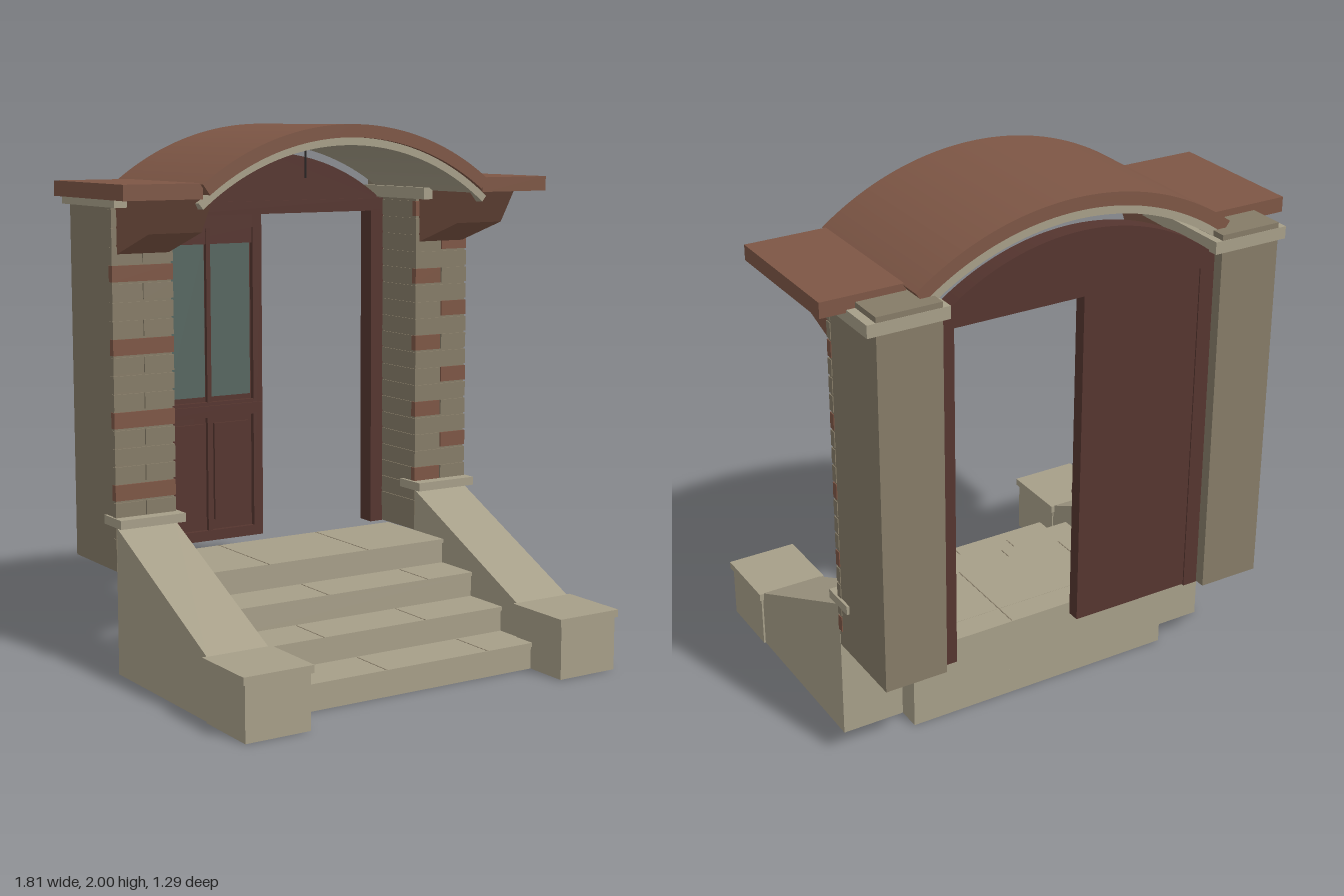
import * as THREE from 'three';

const mat = (name, color) => {
  const m = new THREE.MeshStandardMaterial({ color });
  m.name = name;
  return m;
};

export function createModel() {
  const root = new THREE.Group();
  const stone = mat('pale stone', 0xa69e88);
  const wall = mat('wall stone', 0x857b67);
  const clay = mat('terracotta', 0x7d5645);
  const wood = mat('dark red wood', 0x55352f);
  const glass = mat('glass', 0x566660);
  const iron = mat('dark iron', 0x2a2626);

  const add = (name, geo, m, parent = root) => {
    const mesh = new THREE.Mesh(geo, m);
    mesh.name = name;
    parent.add(mesh);
    return mesh;
  };
  // box given by its limits on each axis
  const box = (name, m, x0, x1, y0, y1, z0, z1, parent) => {
    const g = new THREE.BoxGeometry(Math.abs(x1 - x0), y1 - y0, z1 - z0);
    g.translate((x0 + x1) / 2, (y0 + y1) / 2, (z0 + z1) / 2);
    return add(name, g, m, parent);
  };
  // xy shape extruded from z0 to z1
  const slab = (name, m, shape, z0, z1) => {
    const g = new THREE.ExtrudeGeometry(shape, { depth: z1 - z0, bevelEnabled: false, curveSegments: 32 });
    g.translate(0, 0, z0);
    return add(name, g, m);
  };
  // (z, y) profile extruded along x
  const profile = (name, m, pts, x0, x1) => {
    const s = new THREE.Shape(pts.map(([z, y]) => new THREE.Vector2(-z, y)));
    const g = new THREE.ExtrudeGeometry(s, { depth: x1 - x0, bevelEnabled: false });
    g.rotateY(Math.PI / 2);
    g.translate(x0, 0, 0);
    return add(name, g, m);
  };
  // curved band about (0, cy)
  const band = (cy, rOut, rIn, half) => {
    const s = new THREE.Shape();
    s.absarc(0, cy, rOut, Math.PI / 2 - half, Math.PI / 2 + half, false);
    s.absarc(0, cy, rIn, Math.PI / 2 + half, Math.PI / 2 - half, true);
    return s;
  };

  // steps with nosings and paving joints
  const treads = [0.1, 0.195, 0.29, 0.385];
  treads.forEach((y, i) => {
    const front = 0.47 - i * 0.19;
    const bottom = i ? treads[i - 1] : 0;
    box('stepRiser', stone, -0.54, 0.54, bottom, y - 0.015, -0.39, front - 0.008);
    box('stepTread', stone, -0.54, 0.54, y - 0.015, y, -0.39, front);
    const back = i < 3 ? front - 0.19 : -0.48;
    for (const x of i % 2 ? [-0.255, 0.185] : [-0.115, 0.33])
      box('pavingJoint', wall, x - 0.002, x + 0.002, y, y + 0.001, back, front);
  });
  box('landingSlab', stone, -0.54, 0.54, 0.345, 0.384, -0.485, -0.38);

  const pitch = 0.0663;
  for (const s of [-1, 1]) {
    const side = s < 0 ? 'right' : 'left';
    const span = (a, b) => (s > 0 ? [a, b] : [-b, -a]);

    // sloping cheek wall, end block and caps
    profile(side + 'CheekWall', stone, [[0.375, 0], [0.375, 0.225], [-0.3, 0.55], [-0.3, 0]], ...span(0.54, 0.78));
    box(side + 'EndBlock', stone, ...span(0.535, 0.787), 0, 0.2, 0.375, 0.637);
    box(side + 'EndBlockCap', stone, ...span(0.525, 0.797), 0.2, 0.228, 0.365, 0.645);
    box(side + 'PillarLedge', stone, ...span(0.525, 0.79), 0.552, 0.585, -0.38, -0.245);

    // pillar
    box(side + 'Pillar', wall, ...span(0.543, 0.78), 0.385, 1.775, -0.642, -0.303);
    box(side + 'PillarCap', stone, ...span(0.515, 0.812), 1.71, 1.755, -0.643, -0.21);

    // brick facing: full courses alternate with split ones
    const bricks = new THREE.Group();
    bricks.name = side + 'Brickwork';
    root.add(bricks);
    for (let i = 0; i < 20; i++) {
      const y0 = 0.39 + i * pitch - 0.009, y1 = y0 + pitch - 0.008;
      if (y0 < 0.385) continue;
      if (i % 2 === 0) {
        const m = s < 0 && i % 4 === 0 ? clay : wall;
        box('fullBrick', m, ...span(0.538, 0.783), y0, y1, -0.322, -0.296, bricks);
      } else {
        const inner = s > 0 && i % 4 === 3 ? clay : wall;
        const outer = s > 0 && i % 4 === 1 ? clay : wall;
        box('innerBrick', inner, ...span(0.538, 0.658), y0, y1, -0.322, -0.296, bricks);
        box('outerBrick', outer, ...span(0.664, 0.783), y0, y1, -0.322, -0.296, bricks);
      }
      box('revealBrick', wall, ...span(0.538, 0.55), y0, y1, -0.53, -0.322, bricks);
    }

    // canopy wing and bracket
    box(side + 'CanopyWing', clay, ...span(0.6, 0.905), 1.745, 1.8, -0.505, 0.05);
    profile(side + 'Bracket', clay, [[0.035, 1.747], [-0.045, 1.625], [-0.3, 1.54], [-0.3, 1.747]], ...span(0.555, 0.762));

    // door frame post
    box(side + 'FramePost', wood, ...span(0.483, 0.54), 0.385, 1.66, -0.605, -0.53);
  }

  // arched canopy and its lining
  slab('archedRoof', clay, band(0.985, 1.015, 0.968, 0.645), -0.588, 0.068);
  slab('archLining', stone, band(0.985, 0.968, 0.94, 0.692), -0.588, 0.05);

  // lintel and arched panel above the door
  box('lintel', wood, -0.54, 0.54, 1.655, 1.705, -0.605, -0.53);
  const half = Math.asin(0.535 / 0.848);
  const tympanum = new THREE.Shape();
  tympanum.absarc(0, 1.042, 0.848, Math.PI / 2 - half, Math.PI / 2 + half, false);
  slab('archPanel', wood, tympanum, -0.605, -0.54);

  // door leaf with rails, stiles, panes and panels
  const door = new THREE.Group();
  door.name = 'door';
  root.add(door);
  box('leaf', wood, -0.485, -0.015, 0.39, 1.656, -0.6, -0.572, door);
  for (const [x0, x1] of [[-0.485, -0.445], [-0.055, -0.015]])
    box('stile', wood, x0, x1, 0.39, 1.656, -0.572, -0.552, door);
  for (const [y0, y1] of [[0.39, 0.43], [0.875, 0.935], [1.605, 1.656]])
    box('rail', wood, -0.445, -0.055, y0, y1, -0.572, -0.552, door);
  box('midMoulding', wood, -0.48, -0.02, 0.882, 0.922, -0.552, -0.542, door);
  box('centreStile', wood, -0.258, -0.24, 0.43, 1.605, -0.572, -0.556, door);
  box('topPanel', wood, -0.445, -0.055, 1.545, 1.605, -0.572, -0.56, door);
  for (const [x0, x1] of [[-0.425, -0.262], [-0.236, -0.062]]) {
    box('pane', glass, x0, x1, 0.955, 1.545, -0.572, -0.567, door);
    box('lowerPanel', wood, x0 + 0.01, x1 - 0.01, 0.47, 0.85, -0.572, -0.56, door);
  }

  // hanging rod under the canopy
  const rod = add('hangingRod', new THREE.CylinderGeometry(0.004, 0.004, 0.13, 8), iron);
  rod.position.set(0, 1.865, -0.25);

  return root;
}
